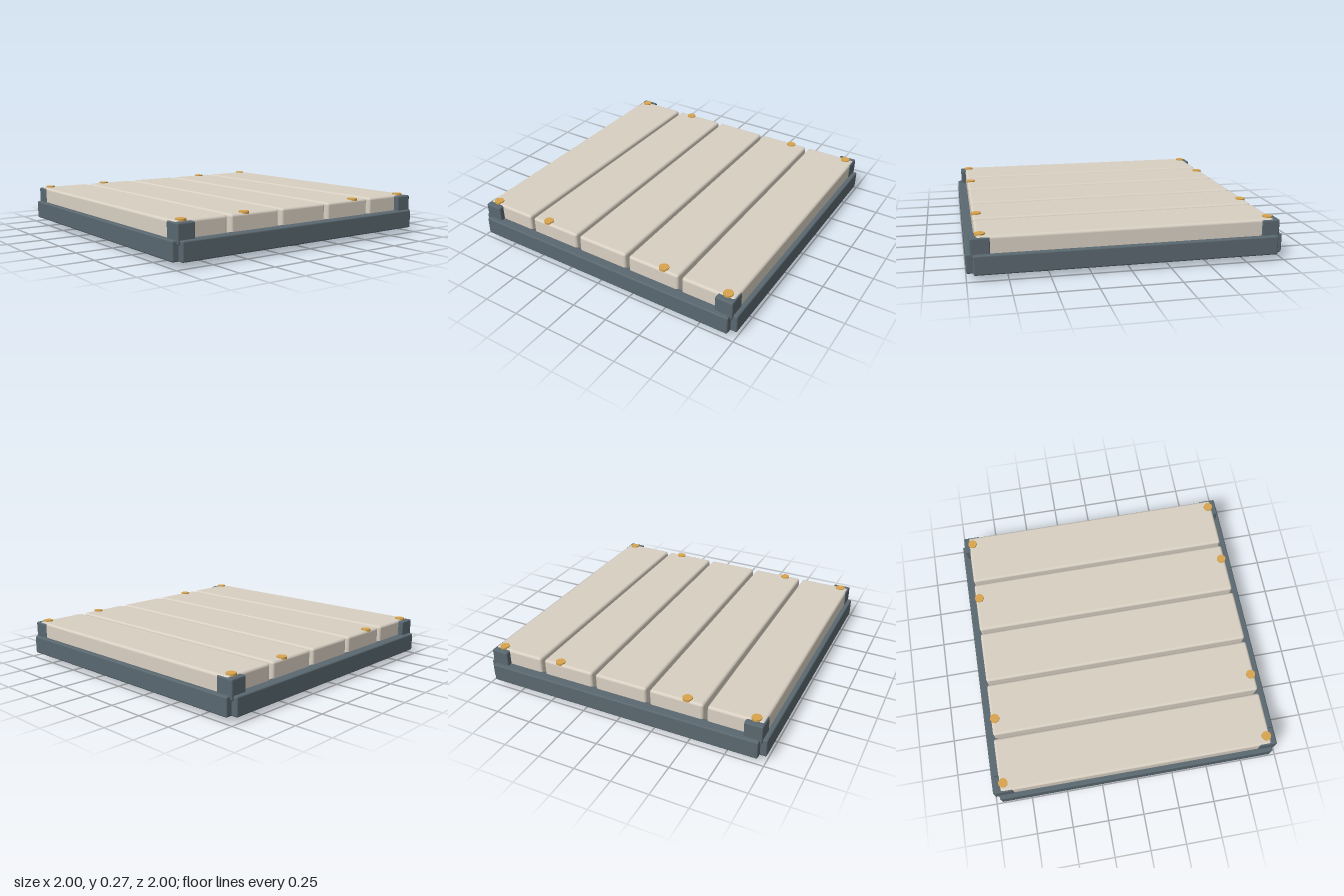
import * as THREE from 'three';
import { RoundedBoxGeometry } from 'three/addons/geometries/RoundedBoxGeometry.js';

const flat = (name, color) => {
  const m = new THREE.MeshStandardMaterial({ color });
  m.name = name;
  return m;
};

export function createModel() {
  const model = new THREE.Group();
  model.name = 'slattedPlatform';
  const steel = flat('slateSteel', 0x5a6870);
  const board = flat('paleBoard', 0xd9d0c3);
  const brass = flat('brass', 0xd8a54e);

  // Soft-edged block: centre x/z, bottom and top heights, width and depth
  const block = (name, material, x, z, y0, y1, w, d, r = 0.01) => {
    const mesh = new THREE.Mesh(new RoundedBoxGeometry(w, y1 - y0, d, 2, r), material);
    mesh.name = name;
    mesh.position.set(x, (y0 + y1) / 2, z);
    model.add(mesh);
  };

  // Perimeter frame
  for (const s of [-1, 1]) {
    block(s > 0 ? 'frontRail' : 'backRail', steel, 0, s * 0.96, 0.036, 0.16, 1.915, 0.08);
    block(s > 0 ? 'leftRail' : 'rightRail', steel, s * 0.96, 0, 0.036, 0.16, 0.08, 1.915);
  }

  // Under-frame: three cross beams and a central spine
  for (const z of [-0.535, 0, 0.535]) block('crossBeam', steel, 0, z, 0, 0.1, 1.81, 0.092);
  block('spine', steel, 0, 0, 0, 0.1, 0.092, 1.75);

  // Thick deck boards set down between the rails, with open gaps
  for (let i = -2; i <= 2; i++) block('deckBoard', board, i * 0.392, 0, 0.09, 0.266, 0.367, 1.875, 0.018);

  // Corner posts, and flat studs along both ends
  for (const sz of [-1, 1]) {
    for (const sx of [-1, 1]) block('cornerPost', steel, sx * 0.912, sz * 0.912, 0.13, 0.26, 0.12, 0.12);
    for (const x of [-0.91, -0.46, 0.46, 0.91]) {
      const stud = new THREE.Mesh(new THREE.CylinderGeometry(0.032, 0.032, 0.016, 18), brass);
      stud.name = 'stud';
      stud.position.set(x, 0.266, sz * 0.91);
      model.add(stud);
    }
  }
  return model;
}
